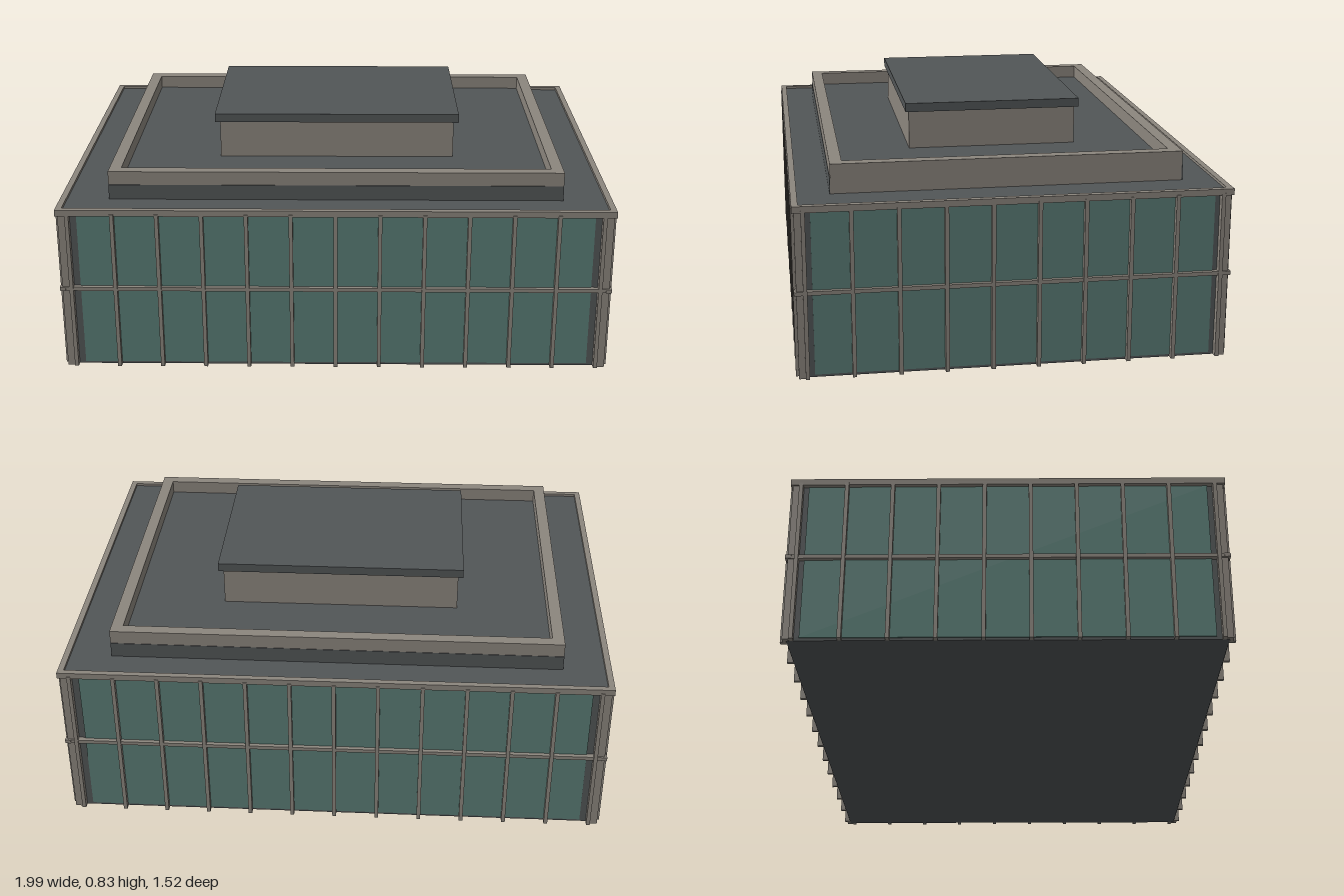
import * as THREE from 'three';

export function createModel() {
  const model = new THREE.Group();
  model.name = 'officeBuilding';

  const material = (name, color) => {
    const m = new THREE.MeshStandardMaterial({ color });
    m.name = name;
    return m;
  };
  const glass = material('teal glass', 0x5a7d76);
  const stone = material('warm grey trim', 0x8c867e);
  const dark = material('dark grey', 0x525657);

  // Box given by its x, y and z ranges
  const box = (name, mat, x0, x1, y0, y1, z0, z1, parent = model) => {
    const mesh = new THREE.Mesh(new THREE.BoxGeometry(x1 - x0, y1 - y0, z1 - z0), mat);
    mesh.position.set((x0 + x1) / 2, (y0 + y1) / 2, (z0 + z1) / 2);
    mesh.name = name;
    parent.add(mesh);
    return mesh;
  };

  // Rectangular ring standing on y0
  const ring = (name, mat, hx, hz, wall, y0, y1) => {
    const shape = new THREE.Shape();
    shape.moveTo(-hx, -hz).lineTo(hx, -hz).lineTo(hx, hz).lineTo(-hx, hz).closePath();
    const ix = hx - wall, iz = hz - wall;
    const hole = new THREE.Path();
    hole.moveTo(-ix, -iz).lineTo(-ix, iz).lineTo(ix, iz).lineTo(ix, -iz).closePath();
    shape.holes.push(hole);
    const geometry = new THREE.ExtrudeGeometry(shape, { depth: y1 - y0, bevelEnabled: false });
    geometry.rotateX(-Math.PI / 2);
    const mesh = new THREE.Mesh(geometry, mat);
    mesh.position.y = y0;
    mesh.name = name;
    model.add(mesh);
  };

  // Main block: dark core shows at the corners, base and roof
  const HX = 0.972, HZ = 0.737;
  box('core', dark, -HX, HX, 0, 0.605, -HZ, HZ);

  // Curtain wall: glass plate, evenly spaced mullions and a floor band
  const facade = (name, halfWidth, glassHalf, depth, count, pitch, angle) => {
    const wall = new THREE.Group();
    wall.name = name;
    box('glazing', glass, -glassHalf, glassHalf, 0.01, 0.592, depth, depth + 0.004, wall);
    for (let i = 0; i < count; i++) {
      const x = (i - (count - 1) / 2) * pitch;
      box('mullion', stone, x - 0.007, x + 0.007, 0, 0.6, depth, depth + 0.023, wall);
    }
    box('cornerMullionLeft', stone, halfWidth - 0.012, halfWidth, 0, 0.6, depth - 0.02, depth + 0.012, wall);
    box('cornerMullionRight', stone, -halfWidth, -halfWidth + 0.012, 0, 0.6, depth - 0.02, depth + 0.012, wall);
    box('floorBand', stone, -halfWidth - 0.008, halfWidth + 0.008, 0.302, 0.316, depth, depth + 0.019, wall);
    wall.rotation.y = angle;
    model.add(wall);
  };
  for (const turn of [0, Math.PI]) {
    facade('longFacade', 0.985, 0.92, HZ, 13, 0.1585, turn);
    facade('shortFacade', 0.75, 0.695, HX, 10, 0.16, turn + Math.PI / 2);
  }

  // Roof edge
  ring('roofEdge', stone, 0.993, 0.757, 0.022, 0.592, 0.615);

  // Setback storey: dark deck inside a raised parapet
  box('upperDeck', dark, -0.8, 0.8, 0.6, 0.66, -0.6, 0.6);
  ring('parapet', stone, 0.82, 0.62, 0.043, 0.605, 0.71);
  for (const s of [-1, 1]) {
    const z = s * 0.62;
    box('parapetBaseBand', dark, -0.82, 0.82, 0.605, 0.66, z - 0.002, z + 0.002);
  }

  // Penthouse and its overhanging roof
  box('penthouse', stone, -0.44, 0.44, 0.655, 0.8, -0.31, 0.31);
  box('penthouseRoof', dark, -0.458, 0.458, 0.8, 0.832, -0.323, 0.323);

  return model;
}
